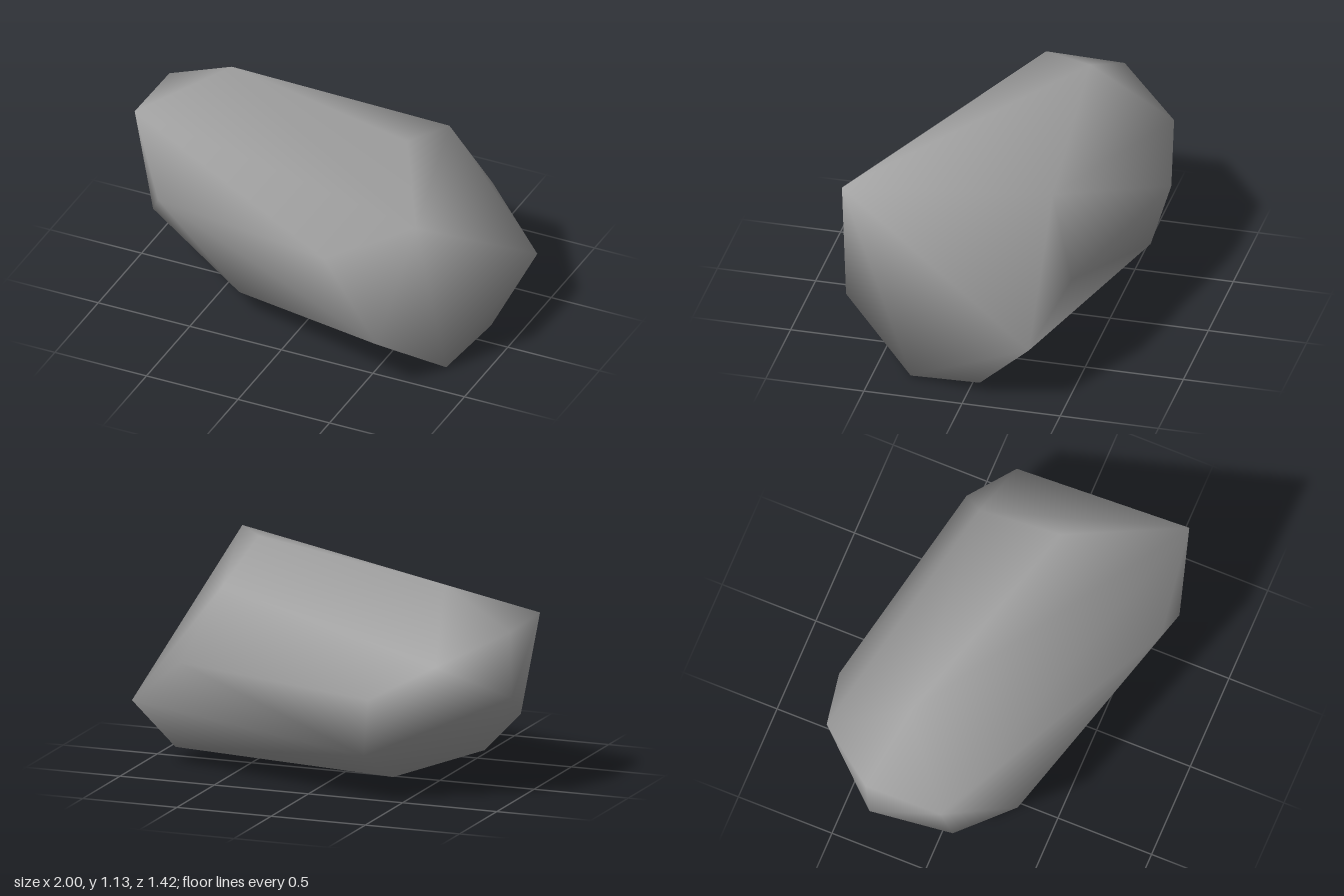
import * as THREE from 'three';
import { mergeVertices } from 'three/addons/utils/BufferGeometryUtils.js';
import { ConvexGeometry } from 'three/addons/geometries/ConvexGeometry.js';

// Corner points of the boulder, grouped by region
const corners = {
  top: [[0.81, 1.03, 0.66], [0.5, 1.13, 0.1], [-0.62, 1.06, -0.24], [0.52, 0.97, -0.34]],
  leftEnd: [[1, 0.35, -0.34], [0.69, 0.6, -0.48], [0.88, 0.06, -0.06]],
  rightEnd: [[-1, 0.88, 0.08], [-1, 0.87, -0.32], [-1, 0.53, -0.3], [-0.89, 0.35, 0.1], [-0.73, 0.61, 0.38]],
  front: [[0.33, 0.75, 0.71], [0.61, 0.31, 0.69]],
  back: [[-0.4, 0.56, -0.71], [-0.73, 0.74, -0.64], [-0.34, 0.25, -0.62]],
  bottom: [[0.81, 0.01, 0.31], [-0.26, 0, -0.02], [-0.32, 0.14, 0.31], [-0.82, 0.23, -0.21]],
};

export function createModel() {
  const group = new THREE.Group();
  group.name = 'boulder';

  const stone = new THREE.MeshStandardMaterial({ color: 0xa0a0a0 });
  stone.name = 'stone grey';

  // Wrap the corners in a hull, then share vertices so the shading is smooth
  const points = Object.values(corners).flat().map((p) => new THREE.Vector3(...p));
  const hull = new ConvexGeometry(points);
  hull.deleteAttribute('normal');
  const geometry = mergeVertices(hull, 1e-4);
  geometry.computeVertexNormals();

  const rock = new THREE.Mesh(geometry, stone);
  rock.name = 'rock';
  group.add(rock);
  return group;
}
